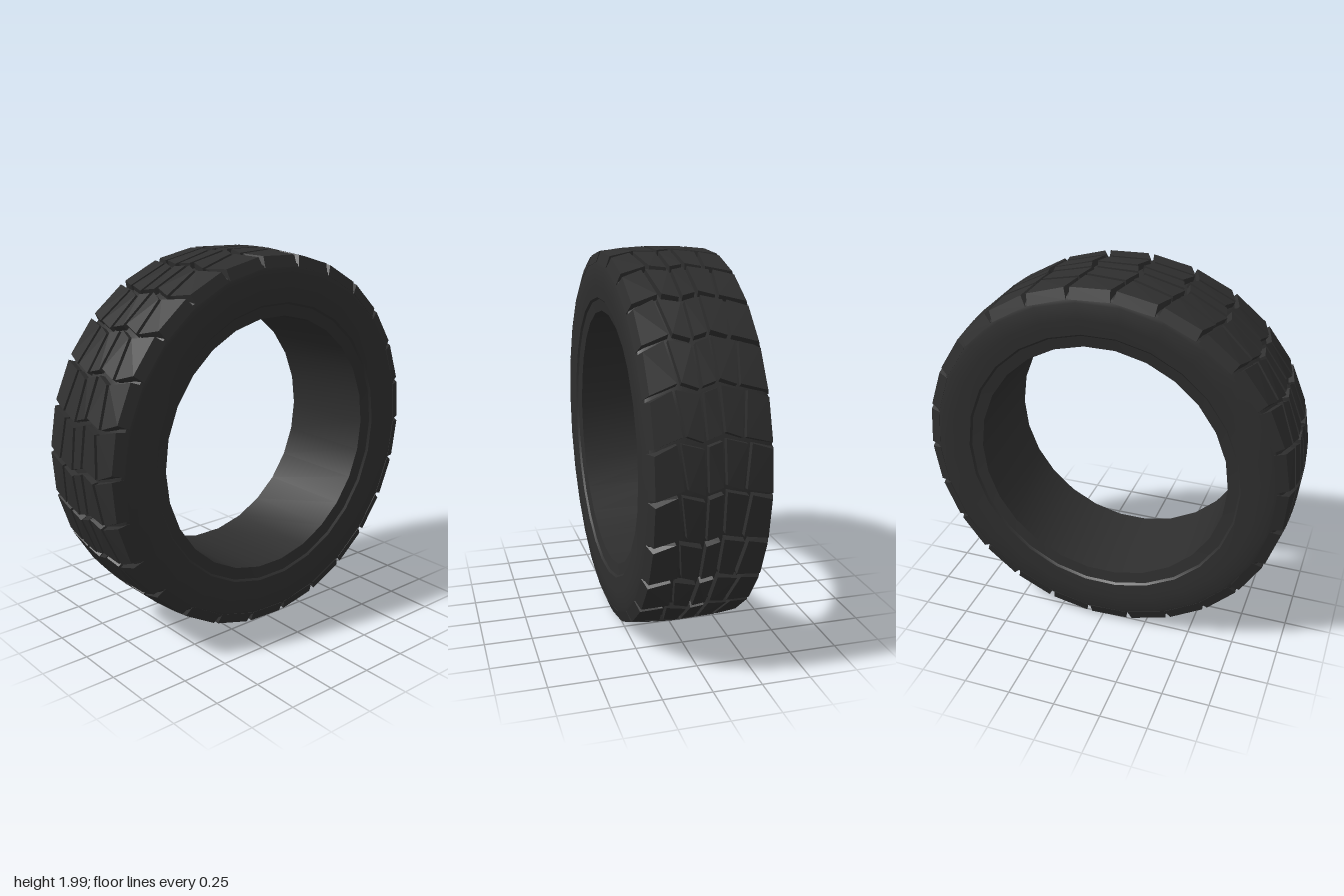
import * as THREE from 'three';
import { mergeGeometries, toCreasedNormals } from 'three/addons/utils/BufferGeometryUtils.js';
import { ConvexGeometry } from 'three/addons/geometries/ConvexGeometry.js';

const COUNT = 26;                        // tread pitches around the tyre
const STEP = (Math.PI * 2) / COUNT;
const crown = z => 1 - 0.25 * z * z;     // tread radius across the width

// Point on the tyre: angle runs counterclockwise from the top
const polar = (a, z, r) => new THREE.Vector3(-r * Math.sin(a), r * Math.cos(a), z);

// Lathe around the z axis, with a flat facet at the top and bottom
function lathe(points) {
  const g = new THREE.LatheGeometry(points.map(p => new THREE.Vector2(...p)), COUNT, STEP / 2);
  g.rotateX(Math.PI / 2);
  return toCreasedNormals(g, 0.45);
}

// One tapered block, repeated all the way round.
// Each edge is { z, shift, skew }: position across, slide around, lean along the block.
function rib(edges, shoulder = 0) {
  const points = [];
  for (const { z, shift, skew = 0 } of edges) {
    for (const end of [-1, 1]) {
      const zz = z + skew * end;
      const a = shift + end * (STEP / 2 - 0.016);
      points.push(polar(a, zz, crown(zz)));
      const outer = shoulder && Math.abs(z) > 0.2;
      points.push(polar(a + end * 0.009, outer ? Math.sign(z) * shoulder : zz, outer ? 0.925 : 0.94));
    }
  }
  const block = new ConvexGeometry(points);
  const all = [];
  for (let i = 0; i < COUNT; i++) all.push(block.clone().rotateZ(i * STEP));
  return mergeGeometries(all);
}

export function createModel() {
  const rubber = new THREE.MeshStandardMaterial({ color: 0x2e2e2e });
  rubber.name = 'black rubber';
  const tyre = new THREE.Group();
  tyre.name = 'tyre';
  const add = (name, geometry) => {
    const mesh = new THREE.Mesh(geometry, rubber);
    mesh.name = name;
    mesh.position.y = 0.993;
    tyre.add(mesh);
  };

  // Carcass: bore, rim lips, sidewalls and the floor of the grooves
  const half = [[0.675, -0.275], [0.735, -0.285], [0.745, -0.296], [0.82, -0.302],
    [0.91, -0.302], [0.94, -0.29], [0.955, -0.26], [0.968, -0.12]];
  const other = half.map(([r, z]) => [r, -z]).reverse();
  add('carcass', lathe([[0.675, 0.275], ...half, ...other]));

  // Tread: five ribs of blocks in a zigzag
  add('centreTread', rib([{ z: 0.032, shift: -0.01 }, { z: -0.032, shift: 0.01 }]));
  add('frontMiddleTread', rib([
    { z: 0.052, shift: -0.02 }, { z: 0.142, shift: 0.012, skew: 0.014 }]));
  add('backMiddleTread', rib([
    { z: -0.052, shift: 0.02 }, { z: -0.142, shift: -0.01, skew: -0.014 }]));
  add('frontShoulderTread', rib([
    { z: 0.162, shift: 0.01, skew: 0.014 }, { z: 0.278, shift: -0.035 }], 0.299));
  add('backShoulderTread', rib([
    { z: -0.162, shift: -0.01, skew: -0.014 }, { z: -0.278, shift: -0.045 }], 0.299));

  return tyre;
}
